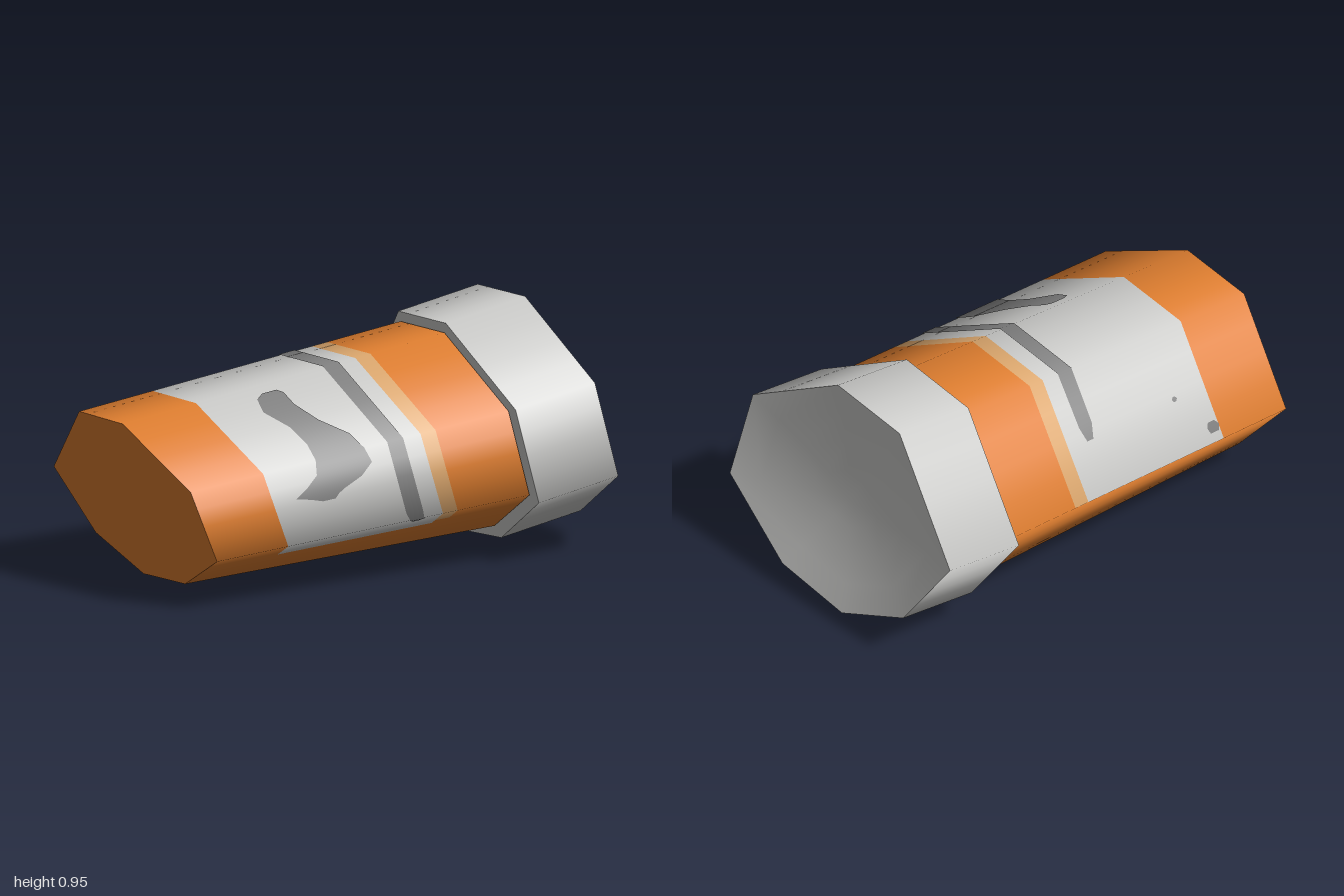
import * as THREE from 'three';

const mat = (name, color) => {
  const m = new THREE.MeshStandardMaterial({ color });
  m.name = name;
  return m;
};
const V = (x, y, z) => new THREE.Vector3(x, y, z);

// Crushed octagon, [height fraction, z], clockwise seen from the cap end
const OCTAGON = [[0.95, 0.13], [0.92, -0.23], [0.51, -0.61], [0.2, -0.41],
  [0.06, -0.09], [0.1, 0.26], [0.32, 0.61], [0.69, 0.56]].map(([y, z]) => [(y - 0.06) / 0.89, z]);

// A ring is the octagon laid on a slanted plane
const ring = (x0, dx, y0, dy, zScale) => OCTAGON.map(([h, z]) => V(x0 - dx * h, y0 + dy * h, z * zScale));
const baseRing = ring(-0.78, 0.22, 0.01, 0.67, 0.925);
const neckRing = ring(0.62, 0.16, 0.05, 0.8, 0.925);
const capInner = ring(0.64, 0.18, 0, 0.89, 1);
const capOuter = ring(1, 0.18, 0.06, 0.89, 1);

const at = (list, u) => {
  const k = Math.floor(u);
  return list[k % 8].clone().lerp(list[(k + 1) % 8], u - k);
};

// Smooth outward normals at the eight corners of a tube between two rings
const cornerNormals = (a, b) => a.map((p, k) => {
  const n = (k + 1) % 8, q = (k + 7) % 8;
  const tangent = a[n].clone().sub(a[q]).add(b[n]).sub(b[q]);
  return b[k].clone().sub(p).cross(tangent).normalize();
});

// Part of a tube: each row is [position around, start along, end along]
function strip(name, material, [a, b], rows, lift = 0) {
  const SUB = 4, LONG = 8, pos = [], nor = [], idx = [];
  const normals = cornerNormals(a, b);
  const fine = [];
  rows.forEach((row, i) => {
    const next = rows[i + 1];
    if (!next) return fine.push(row);
    for (let s = 0; s < SUB; s++) fine.push(row.map((v, c) => v + (next[c] - v) * s / SUB));
  });
  fine.forEach(([u, t0, t1], i) => {
    const n = at(normals, u).normalize(), p = at(a, u), q = at(b, u);
    for (let j = 0; j <= LONG; j++) {
      const v = p.clone().lerp(q, t0 + (t1 - t0) * j / LONG).addScaledVector(n, lift);
      pos.push(v.x, v.y, v.z);
      nor.push(n.x, n.y, n.z);
      if (i < fine.length - 1 && j < LONG) {
        const k = i * (LONG + 1) + j, m = k + LONG + 1;
        idx.push(k, k + 1, m, k + 1, m + 1, m);
      }
    }
  });
  const g = new THREE.BufferGeometry();
  g.setAttribute('position', new THREE.Float32BufferAttribute(pos, 3));
  g.setAttribute('normal', new THREE.Float32BufferAttribute(nor, 3));
  g.setIndex(idx);
  const mesh = new THREE.Mesh(g, material);
  mesh.name = name;
  return mesh;
}

// Closing face of a ring, optionally dished inward along x
function disc(name, material, list, facesCap, dish = 0) {
  const c = list.reduce((s, p) => s.add(p), V(0, 0, 0)).divideScalar(8);
  const radii = dish ? [1, 0.75, 0.5, 0.25] : [1];
  const pos = [], idx = [];
  const put = (p, r) => pos.push(p.x - dish * (1 - r * r), p.y, p.z);
  const tri = (p, q, r) => (facesCap ? idx.push(p, r, q) : idx.push(p, q, r));
  radii.forEach((r) => list.forEach((p) => put(c.clone().lerp(p, r), r)));
  put(c, 0);
  const centre = radii.length * 8;
  for (let i = 0; i < radii.length; i++) {
    for (let k = 0; k < 8; k++) {
      const p = i * 8 + k, q = i * 8 + (k + 1) % 8;
      if (i === radii.length - 1) tri(p, q, centre);
      else {
        tri(p, q, p + 8);
        tri(q, q + 8, p + 8);
      }
    }
  }
  const g = new THREE.BufferGeometry();
  g.setAttribute('position', new THREE.Float32BufferAttribute(pos, 3));
  g.setIndex(idx);
  g.computeVertexNormals();
  const mesh = new THREE.Mesh(g, material);
  mesh.name = name;
  return mesh;
}

export function createModel() {
  const orange = mat('orange plastic', 0xdd7d2f);
  const grey = mat('light grey', 0xc9c9c7);
  const dark = mat('dark grey print', 0x808080);
  const tan = mat('pale orange stripe', 0xd9a56c);

  const model = new THREE.Group();
  model.name = 'bottle';
  const body = [baseRing, neckRing], cap = [capInner, capOuter];
  const around = (from, to, t0, t1) => {
    const rows = [[from, t0, t1]];
    for (let u = Math.floor(from) + 1; u < to; u++) rows.push([u, t0, t1]);
    return [...rows, [to, t0, t1]];
  };

  // Orange body: two full bands, and the part under the label
  const L0 = 0.228, L1 = 0.723, T1 = 0.77, EDGE = 5.67, STRIPE = 5.76, BACK = 10;
  model.add(
    strip('lowerBody', orange, body, around(0, 8, 0, L0)),
    strip('upperBody', orange, body, around(0, 8, T1, 1)),
    strip('bodyUnderside', orange, body, around(2, EDGE, L0, L1)),
    strip('stripeUnderside', orange, body, around(2, STRIPE, L1, T1)),
    disc('base', orange, baseRing, false),
  );

  // Label wrapping front, top and back
  model.add(
    strip('label', grey, body, around(EDGE, BACK, L0, L1)),
    strip('labelStripe', tan, body, around(STRIPE, BACK, L1, T1)),
  );

  // Printed marks on the label
  const LIFT = 0.004;
  model.add(
    strip('printedBar', dark, body, [[5.96, 0.632, 0.648], [6, 0.618, 0.662], [6.1, 0.612, 0.665],
      [7, 0.617, 0.667], [8, 0.622, 0.671], [9, 0.622, 0.671], [9.45, 0.622, 0.668], [9.57, 0.636, 0.658]], LIFT),
    strip('printedFigure', dark, body, [[7.89, 0.41, 0.455], [7.84, 0.385, 0.467], [7.68, 0.371, 0.467],
      [7.44, 0.403, 0.492], [7.2, 0.407, 0.54], [7, 0.392, 0.545], [6.81, 0.381, 0.555],
      [6.675, 0.339, 0.513], [6.577, 0.298, 0.452], [6.53, 0.34, 0.43], [6.476, 0.375, 0.415]].reverse(), LIFT),
    strip('printedSpot', dark, body, [[9.83, 0.24, 0.262], [9.87, 0.228, 0.27], [9.92, 0.235, 0.265]], LIFT),
    strip('printedDot', dark, body, [[9.53, 0.335, 0.343], [9.55, 0.33, 0.348], [9.57, 0.335, 0.343]], LIFT),
  );

  // Cap with a dished end
  model.add(
    strip('capSide', grey, cap, around(0, 8, 0, 1)),
    disc('capUnderside', grey, capInner, false),
    disc('capEnd', grey, capOuter, true, 0.06),
  );
  return model;
}
